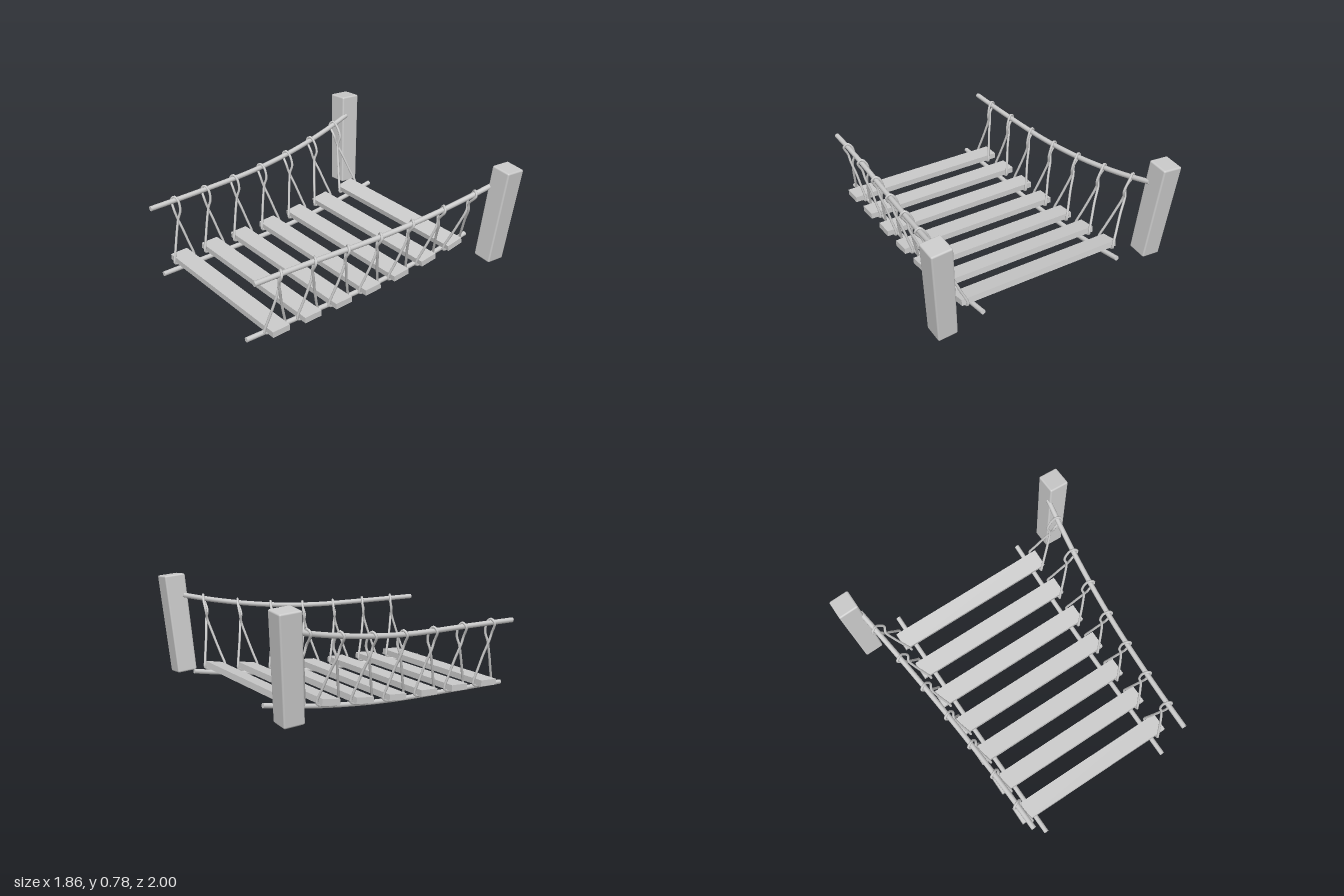
import * as THREE from 'three';
import { RoundedBoxGeometry } from 'three/addons/geometries/RoundedBoxGeometry.js';

const material = new THREE.MeshStandardMaterial({ color: 0xcccccc });
const V = (x, y, z) => new THREE.Vector3(x, y, z);
const UP = V(0, 1, 0);

// Sagging rope paths for the +x side, as functions of z
const sag = (z, start, k) => k * Math.max(0, start - z) ** 2;
const handRope = z => V(0.61 + 0.02 * (1 - z) + 0.038 * (1 - z) ** 2, 0.484 + sag(z, 0.3, 0.105), z);
const footRope = z => V(0.5 + 0.014 * (1 - z), 0.018 + sag(z, 0.25, 0.08), z);
const footSlope = z => -0.16 * Math.max(0, 0.25 - z);

function add(parent, name, geometry) {
  const mesh = new THREE.Mesh(geometry, material);
  mesh.name = name;
  parent.add(mesh);
  return mesh;
}

// Long rope with closed ends
function addRope(parent, name, path, side, zEnd, radius) {
  const points = [];
  for (let i = 0; i <= 10; i++) {
    const p = path(1 + (zEnd - 1) * i / 10);
    p.x *= side;
    points.push(p);
  }
  const curve = new THREE.CatmullRomCurve3(points);
  add(parent, name, new THREE.TubeGeometry(curve, 40, radius, 10));
  for (const t of [0, 1]) {
    const cap = add(parent, name + 'End', new THREE.CircleGeometry(radius, 10));
    const out = curve.getTangent(t).multiplyScalar(t ? 1 : -1);
    cap.position.copy(curve.getPoint(t));
    cap.quaternion.setFromUnitVectors(V(0, 0, 1), out);
  }
}

// Hanger: small eye over the hand rope, crossed strands, wide loop under a plank
function addHanger(parent, z, side) {
  const top = handRope(z);
  const base = V(0.54 + 0.023 * (0.8 - z), footRope(z).y + 0.016, z);
  const cross = top.clone().lerp(base, 0.29);
  const low = (dz, dy) => V(base.x, base.y + dy + footSlope(z) * dz, z + dz);
  const corner = dz => low(dz, 0.028);
  const along = (dz, t) => cross.clone().lerp(corner(dz), t);
  const shift = (p, dx, dy, dz) => V(p.x + dx, p.y + dy, p.z + dz);
  const points = [
    shift(top, 0, 0.027, 0),
    shift(top, 0.027, 0, 0.012),
    shift(cross, 0.018, 0.06, 0.014),
    shift(cross, 0.008, 0, 0),
    along(-0.08, 0.35), along(-0.08, 0.7), corner(-0.08),
    low(-0.08, 0.008), low(-0.062, 0), low(0.062, 0), low(0.08, 0.008),
    corner(0.08), along(0.08, 0.7), along(0.08, 0.35),
    shift(cross, -0.008, 0, 0),
    shift(cross, -0.018, 0.06, -0.014),
    shift(top, -0.027, 0, -0.012),
  ];
  points.forEach(p => { p.x *= side; });
  const curve = new THREE.CatmullRomCurve3(points, true);
  add(parent, 'hanger', new THREE.TubeGeometry(curve, 90, 0.009, 7, true));
}

// Leaning timber post, slightly narrower at the foot
function addPost(parent, side) {
  const top = V(0.857 * side, 0.77, -0.921);
  const foot = V(0.797 * side, 0.073, -0.869);
  const axis = top.clone().sub(foot);
  const height = axis.length();
  const geometry = new RoundedBoxGeometry(0.148, height, 0.152, 2, 0.012);
  const pos = geometry.attributes.position;
  for (let i = 0; i < pos.count; i++) {
    const k = 0.97 + 0.06 * pos.getY(i) / height;
    pos.setX(i, pos.getX(i) * k);
    pos.setZ(i, pos.getZ(i) * k);
  }
  const post = add(parent, 'post', geometry);
  post.position.copy(top).add(foot).multiplyScalar(0.5);
  post.quaternion.setFromUnitVectors(UP, axis.normalize());
}

export function createModel() {
  const bridge = new THREE.Group();
  bridge.name = 'ropeBridge';

  for (const side of [1, -1]) {
    const half = new THREE.Group();
    half.name = side > 0 ? 'leftSide' : 'rightSide';
    bridge.add(half);
    addPost(half, side);
    addRope(half, 'handRope', handRope, side, -0.87, 0.018);
    addRope(half, 'footRope', footRope, side, -0.905, 0.017);
  }

  // Planks follow the slope of the foot ropes, with a hanger at each end
  for (let i = 0; i < 7; i++) {
    const z = 0.805 - 0.2545 * i;
    const plank = add(bridge, 'plank', new THREE.BoxGeometry(1.22, 0.042, 0.131));
    plank.position.set(0, footRope(z).y + 0.042, z);
    plank.rotation.x = -Math.atan(footSlope(z)) + 0.03;
    for (const side of [1, -1]) addHanger(bridge, z, side);
  }
  return bridge;
}
